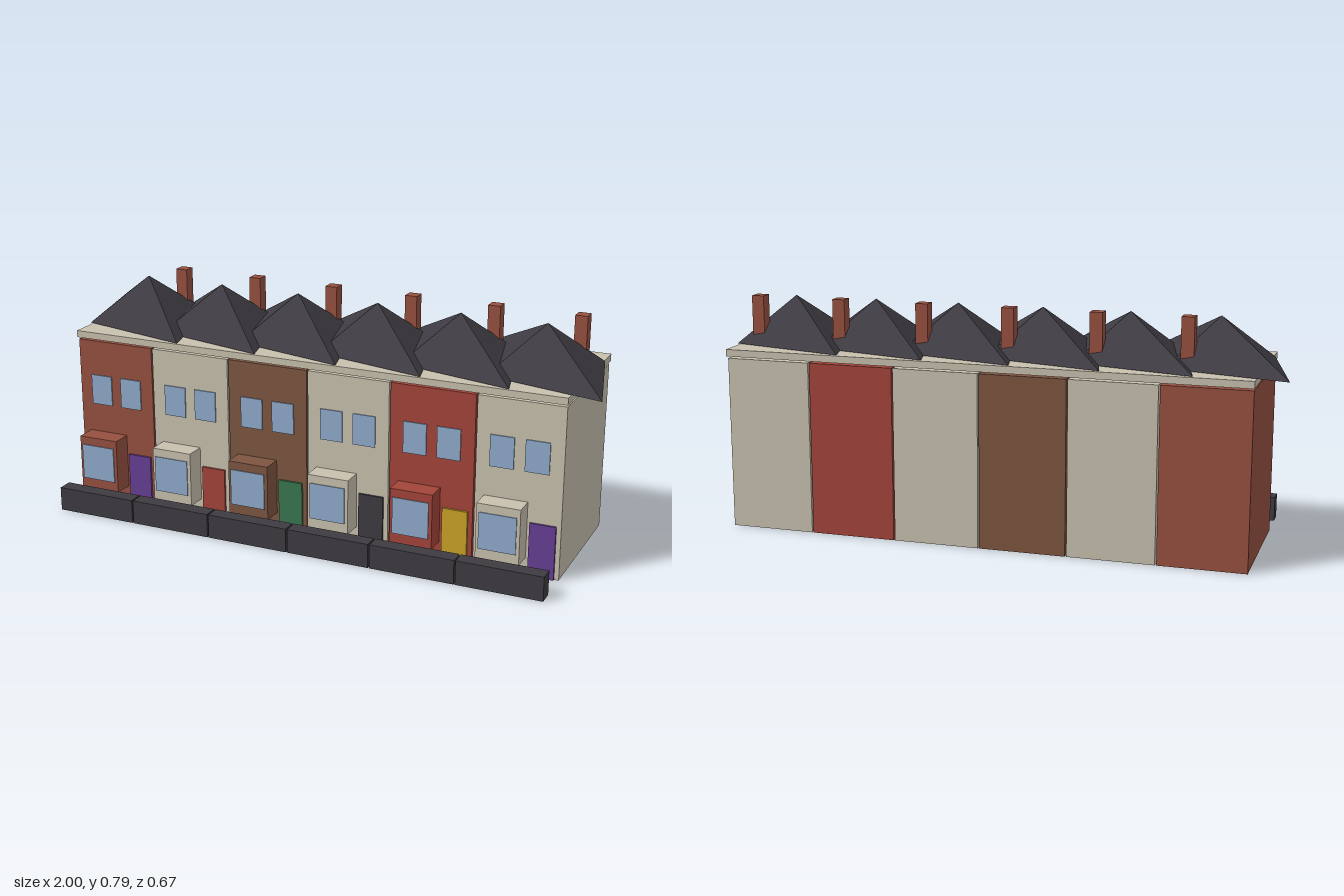
import * as THREE from 'three';

const paint = (name, color) => {
  const m = new THREE.MeshStandardMaterial({ color });
  m.name = name;
  return m;
};

export function createModel() {
  const brick = paint('brick', 0x965040);
  const cream = paint('cream', 0xc8c0ae);
  const brown = paint('brown', 0x7d5540);
  const red = paint('red', 0xa3443a);
  const slate = paint('slate', 0x3d3b41);
  const glass = paint('glass', 0x8fabcb);
  const purple = paint('purple', 0x673f93);
  const green = paint('green', 0x3a7550);
  const yellow = paint('yellow', 0xc9a227);

  const terrace = new THREE.Group();
  terrace.name = 'terrace';

  // Box given by its centre x, width, and y and z ranges
  const box = (parent, name, material, x, width, [y0, y1], [z0, z1]) => {
    const mesh = new THREE.Mesh(new THREE.BoxGeometry(width, y1 - y0, z1 - z0), material);
    mesh.position.set(x, (y0 + y1) / 2, (z0 + z1) / 2);
    mesh.name = name;
    parent.add(mesh);
    return mesh;
  };

  // Diamond-based pyramid: four-sided cone stretched along one diagonal
  const roofGeometry = new THREE.ConeGeometry(1, 0.153, 4, 1).toNonIndexed();
  roofGeometry.scale(0.219, 1, 0.361);
  roofGeometry.rotateY(Math.PI / 4);
  roofGeometry.computeVertexNormals();

  const houses = [
    [brick, purple], [cream, red], [brown, green],
    [cream, slate], [red, yellow], [cream, purple],
  ];
  const pitch = 0.298;

  houses.forEach(([wall, door], i) => {
    const house = new THREE.Group();
    house.name = `house${i + 1}`;
    house.position.x = (i - 2.5) * pitch;
    terrace.add(house);

    // Body and eaves band
    box(house, 'walls', wall, 0, 0.293, [0, 0.59], [-0.325, 0.167]);
    box(house, 'eaves', cream, 0, pitch, [0.598, 0.622], [-0.335, 0.175]);

    // Roof and chimney
    const roof = new THREE.Mesh(roofGeometry, slate);
    roof.name = 'roof';
    roof.position.set(0, 0.7015, -0.08);
    house.add(roof);
    box(house, 'chimney', brick, 0.085, 0.043, [0.64, 0.79], [-0.21, -0.167]);

    // Bay with its window, and the door beside it
    box(house, 'bay', wall, -0.041, 0.148, [0.06, 0.253], [0.167, 0.24]);
    box(house, 'bayWindow', glass, -0.041, 0.127, [0.098, 0.225], [0.243, 0.246]);
    box(house, 'door', door, 0.087, 0.088, [0, 0.185], [0.167, 0.175]);

    // Upper windows
    for (const side of [-1, 1]) {
      box(house, 'upperWindow', glass, side * 0.059, 0.081, [0.357, 0.465], [0.168, 0.172]);
    }

    // Low garden wall
    box(house, 'gardenWall', slate, 0, 0.293, [0, 0.084], [0.281, 0.335]);
  });

  return terrace;
}
